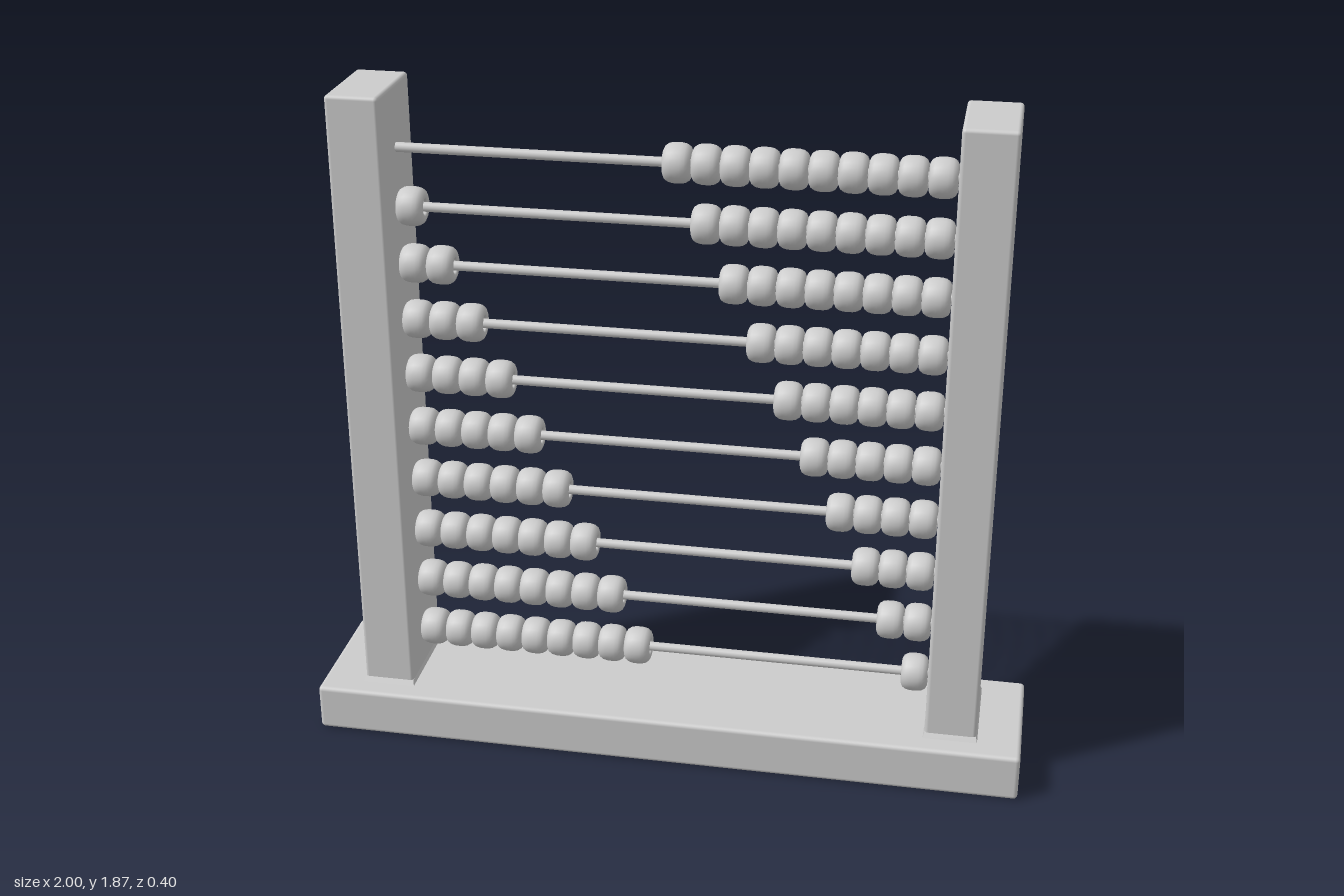
import * as THREE from 'three';
import { RoundedBoxGeometry } from 'three/addons/geometries/RoundedBoxGeometry.js';

export function createModel() {
  const model = new THREE.Group();
  model.name = 'abacus';
  const grey = new THREE.MeshStandardMaterial({ color: 0xcccccc });
  grey.name = 'plain grey';

  function add(parent, name, geometry, x, y, z = 0) {
    const mesh = new THREE.Mesh(geometry, grey);
    mesh.name = name;
    mesh.position.set(x, y, z);
    parent.add(mesh);
    return mesh;
  }

  // Base board with softened edges
  add(model, 'base', new RoundedBoxGeometry(2, 0.134, 0.4, 3, 0.012), 0, 0.067);

  // Upright posts, each with a small flared foot where it meets the base
  const postGeometry = new RoundedBoxGeometry(0.142, 1.77, 0.266, 3, 0.01);
  const footGeometry = new THREE.BoxGeometry(0.142, 0.014, 0.266);
  const corner = footGeometry.attributes.position;
  for (let i = 0; i < corner.count; i++) {
    if (corner.getY(i) < 0) {
      corner.setX(i, corner.getX(i) + Math.sign(corner.getX(i)) * 0.004);
      corner.setZ(i, corner.getZ(i) + Math.sign(corner.getZ(i)) * 0.01);
    }
  }
  footGeometry.computeVertexNormals();
  for (const [side, name] of [[1, 'left'], [-1, 'right']]) {
    add(model, name + 'Post', postGeometry, side * 0.805, 0.983);
    add(model, name + 'PostFoot', footGeometry, side * 0.805, 0.14);
  }

  // Bead: a plump ring with a bore for the rod, turned to lie along x
  const half = [[0.053, 0], [0.0525, 0.012], [0.05, 0.023], [0.044, 0.032], [0.035, 0.0365], [0.025, 0.0365], [0.019, 0.033]];
  const lower = half.slice(1).reverse().map(([r, y]) => new THREE.Vector2(r, -y));
  const upper = half.map(([r, y]) => new THREE.Vector2(r, y));
  const beadGeometry = new THREE.LatheGeometry([...lower, ...upper, lower[0].clone()], 24);
  beadGeometry.rotateZ(-Math.PI / 2);

  const rodGeometry = new THREE.CylinderGeometry(0.013, 0.013, 1.5, 16);
  rodGeometry.rotateZ(Math.PI / 2);

  // Ten rods: each one down has one more bead pushed to the -x end
  const pitch = 0.0752;
  for (let row = 0; row < 10; row++) {
    const wire = new THREE.Group();
    wire.name = 'row' + (row + 1);
    wire.position.y = 1.701 - row * 0.1604;
    model.add(wire);
    add(wire, 'rod', rodGeometry, 0, 0);
    for (let i = 0; i < 10; i++) {
      const x = i < row ? -0.699 + i * pitch : 0.692 - (9 - i) * pitch;
      add(wire, 'bead', beadGeometry, x, 0);
    }
  }
  return model;
}
